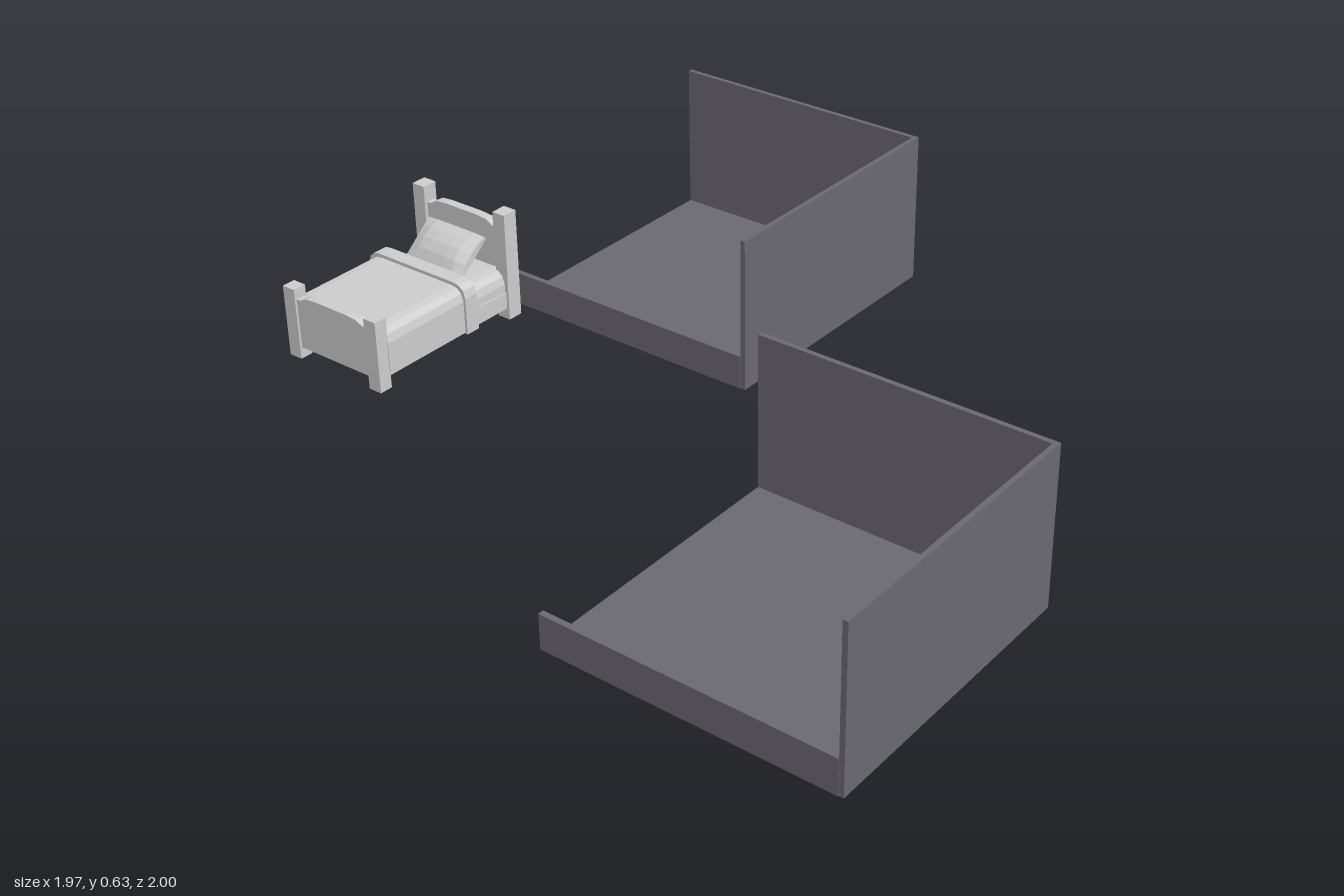
import * as THREE from 'three';

const wallGrey = new THREE.MeshStandardMaterial({ color: 0x6a6870 });
wallGrey.name = 'wall grey';
const bedGrey = new THREE.MeshStandardMaterial({ color: 0xcccccc, flatShading: true });
bedGrey.name = 'bed light grey';

// Box given by its lower and upper corners
function box(name, material, [x0, y0, z0], [x1, y1, z1]) {
  const mesh = new THREE.Mesh(new THREE.BoxGeometry(x1 - x0, y1 - y0, z1 - z0), material);
  mesh.position.set((x0 + x1) / 2, (y0 + y1) / 2, (z0 + z1) / 2);
  mesh.name = name;
  return mesh;
}

// Outline in x and y, extruded from z0 to z1
function slab(name, points, z0, z1) {
  const shape = new THREE.Shape(points.map(([x, y]) => new THREE.Vector2(x, y)));
  const geometry = new THREE.ExtrudeGeometry(shape, { depth: z1 - z0, bevelEnabled: false });
  const mesh = new THREE.Mesh(geometry, bedGrey);
  mesh.position.z = z0;
  mesh.name = name;
  return mesh;
}

// Mirrors a half outline (x > 0, listed bottom to top) to a full one
const mirrored = half => [...half, ...half.map(([x, y]) => [-x, y]).reverse()];

// Open room: floor, tall back and side walls, low front wall
function room(name, x, y, z) {
  const g = new THREE.Group(), t = 0.014, w = 0.82, d = 0.815, h = 0.445;
  g.add(
    box('floor', wallGrey, [0, 0, 0], [w, 0.012, d]),
    box('backWall', wallGrey, [0, 0, 0], [w, h, t]),
    box('sideWall', wallGrey, [w - t, 0, t], [w, h, d]),
    box('lowFrontWall', wallGrey, [-0.004, 0, d - t], [w - t, 0.098, d + 0.002])
  );
  g.position.set(x, y, z);
  g.name = name;
  return g;
}

// Bed end board with arched panel and two square posts
function endBoard(name, z0, z1, top, shoulder, crown) {
  const g = new THREE.Group();
  g.name = name;
  const mid = (z0 + z1) / 2;
  g.add(slab('panel', mirrored([
    [0.13, 0.03], [0.13, shoulder], [0.105, shoulder], [0.085, crown - 0.003], [0.05, crown]
  ]), mid - 0.012, mid + 0.012));
  for (const s of [-1, 1]) {
    const post = box('post', bedGrey, [-0.019, 0, z0], [0.019, top, z1]);
    post.position.x = s * 0.136;
    g.add(post);
  }
  return g;
}

// Draped cover with rounded upper edges
function drape(name, half, bottom, top, z0, z1) {
  return slab(name, mirrored([
    [half, bottom], [half, top - 0.035], [half - 0.006, top - 0.015], [half - 0.02, top - 0.003], [half - 0.04, top]
  ]), z0, z1);
}

function pillow() {
  const geometry = new THREE.BoxGeometry(0.19, 0.05, 0.115, 6, 2, 4);
  const p = geometry.attributes.position;
  for (let i = 0; i < p.count; i++) {
    // Thin towards the rim, with slightly drawn-in sides
    const u = Math.abs(p.getX(i)) / 0.095, v = Math.abs(p.getZ(i)) / 0.0575;
    p.setY(i, p.getY(i) * (1 - 0.6 * u ** 4) * (1 - 0.6 * v ** 2));
    p.setX(i, p.getX(i) * (0.95 + 0.05 * v * v));
  }
  geometry.computeVertexNormals();
  const mesh = new THREE.Mesh(geometry, bedGrey);
  mesh.position.set(0, 0.178, 0.407);
  mesh.rotation.x = 0.69;
  mesh.name = 'pillow';
  return mesh;
}

function bed() {
  const g = new THREE.Group();
  g.name = 'bed';
  g.add(
    endBoard('headboard', 0.313, 0.355, 0.29, 0.245, 0.26),
    endBoard('footboard', 0.77, 0.806, 0.19, 0.162, 0.175),
    box('bedFrame', bedGrey, [-0.148, 0.03, 0.345], [0.148, 0.075, 0.78]),
    drape('mattress', 0.144, 0.07, 0.132, 0.345, 0.49),
    drape('blanket', 0.157, 0.035, 0.156, 0.485, 0.772),
    drape('blanketFold', 0.164, 0.032, 0.165, 0.475, 0.515),
    pillow()
  );
  g.position.set(-0.65, 0.345, 0);
  return g;
}

export function createModel() {
  const model = new THREE.Group();
  model.name = 'roomsAndBed';
  model.add(
    room('backRoom', -0.985, 0, -1),
    room('frontRoom', 0.165, 0.01, 0.183),
    bed()
  );
  return model;
}
